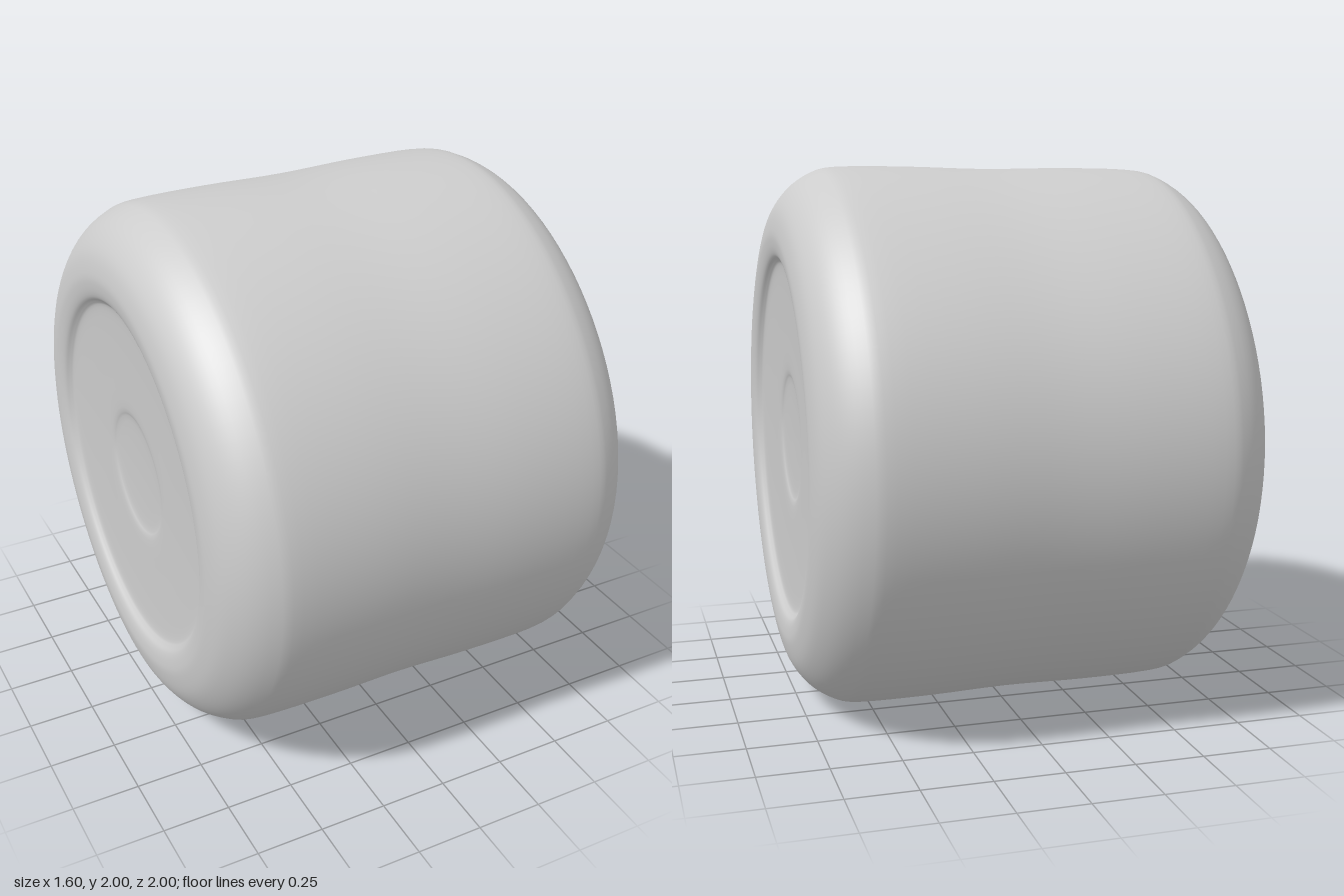
import * as THREE from 'three';
import { mergeVertices } from 'three/addons/utils/BufferGeometryUtils.js';

// Half profile from the hub to the middle of the tread: [radius, distance along the axle]
const HALF = [
  [0, 0.733], [0.2, 0.737], [0.255, 0.748], [0.4, 0.752], [0.55, 0.757], [0.63, 0.762],
  [0.652, 0.772], [0.672, 0.788], [0.71, 0.797], [0.76, 0.797], [0.84, 0.775], [0.915, 0.72],
  [0.965, 0.645], [0.985, 0.56], [0.988, 0.3], [0.982, 0],
];

export function createModel() {
  const group = new THREE.Group();
  group.name = 'wheel';
  const grey = new THREE.MeshStandardMaterial({ color: 0xcccccc });
  grey.name = 'light grey';

  // Mirror the half profile and smooth it
  const right = HALF.map(([r, x]) => new THREE.Vector2(r, x));
  const left = HALF.slice(0, -1).map(([r, x]) => new THREE.Vector2(r, -x));
  const profile = new THREE.SplineCurve([...left, ...right.reverse()]).getPoints(120);
  profile.forEach((p) => { p.x = Math.max(0, p.x); });
  profile[0].x = profile[profile.length - 1].x = 0;

  // Turn the soft wheel around the axle, which lies along x
  let geometry = new THREE.LatheGeometry(profile, 96);
  geometry.rotateZ(-Math.PI / 2);

  // Hand-formed roundness: slightly flat on the diagonals and slimmer towards -x
  const pos = geometry.attributes.position;
  for (let i = 0; i < pos.count; i++) {
    const y = pos.getY(i), z = pos.getZ(i);
    const k = 1 + 0.007 * Math.cos(4 * Math.atan2(z, y)) + 0.008 * pos.getX(i);
    pos.setY(i, y * k);
    pos.setZ(i, z * k);
  }

  // Weld the seam so the shading is smooth all round
  geometry.deleteAttribute('uv');
  geometry.deleteAttribute('normal');
  geometry = mergeVertices(geometry, 1e-4);
  geometry.computeVertexNormals();

  const wheel = new THREE.Mesh(geometry, grey);
  wheel.name = 'softWheelBody';
  wheel.position.y = 1;
  group.add(wheel);
  return group;
}
